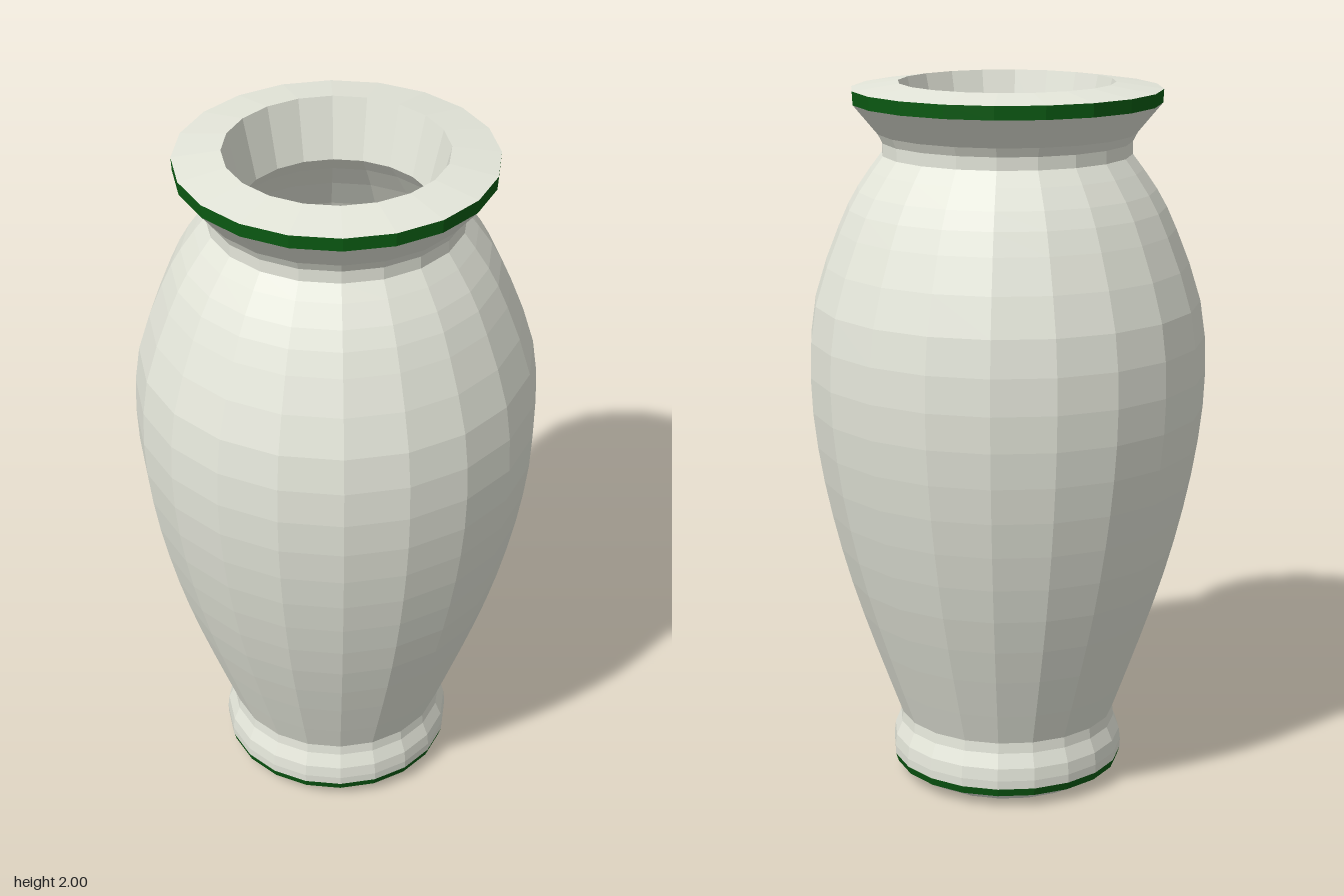
import * as THREE from 'three';

const SIDES = 20;
const glaze = new THREE.MeshStandardMaterial({ color: 0xe4e6da, flatShading: true });
const green = new THREE.MeshStandardMaterial({ color: 0x0b5a12, flatShading: true });

// Turn a list of [radius, height] pairs; rising profiles face outward
function turned(name, profile, material) {
  const points = profile.map(([r, y]) => new THREE.Vector2(r, y));
  const mesh = new THREE.Mesh(new THREE.LatheGeometry(points, SIDES), material);
  mesh.name = name;
  return mesh;
}

// Smooth a few guide points into a curved profile
function smooth(profile, steps) {
  const curve = new THREE.SplineCurve(profile.map(([r, y]) => new THREE.Vector2(r, y)));
  return curve.getPoints(steps).map((p) => [p.x, p.y]);
}

export function createModel() {
  const vase = new THREE.Group();
  vase.name = 'vase';

  // Foot: closed underside, green band, rounded moulding
  vase.add(turned('footUnderside', [[0, 0], [0.26, 0], [0.325, 0.037]], glaze));
  vase.add(turned('footBand', [[0.325, 0.037], [0.332, 0.06]], green));
  vase.add(turned('footMoulding',
    [[0.332, 0.06], [0.333, 0.085], [0.329, 0.12], [0.312, 0.16], [0.309, 0.19]], glaze));

  // Belly swelling to the shoulder
  const belly = [[0.309, 0.19], [0.385, 0.4], [0.451, 0.6], [0.503, 0.8], [0.54, 1.0],
    [0.556, 1.2], [0.538, 1.4], [0.468, 1.6], [0.413, 1.71], [0.345, 1.805]];
  vase.add(turned('belly', smooth(belly, 18), glaze));

  // Neck collar and flared lip
  vase.add(turned('neck',
    [[0.345, 1.805], [0.345, 1.84], [0.358, 1.865], [0.425, 1.945]], glaze));
  vase.add(turned('lipBand', [[0.425, 1.945], [0.427, 1.982]], green));
  vase.add(turned('rim', [[0.427, 1.982], [0.298, 2.0]], glaze));

  // Hollow interior: mouth, inner wall and floor
  vase.add(turned('mouth', [[0.298, 2.0], [0.258, 1.83]], glaze));
  const wall = [[0.258, 1.83], [0.345, 1.71], [0.45, 1.5], [0.496, 1.2], [0.48, 1.0],
    [0.391, 0.6], [0.325, 0.4], [0.262, 0.2]];
  vase.add(turned('innerWall', smooth(wall, 14), glaze));
  vase.add(turned('innerFloor', [[0.262, 0.2], [0.262, 0.1], [0, 0.1]], glaze));

  return vase;
}
